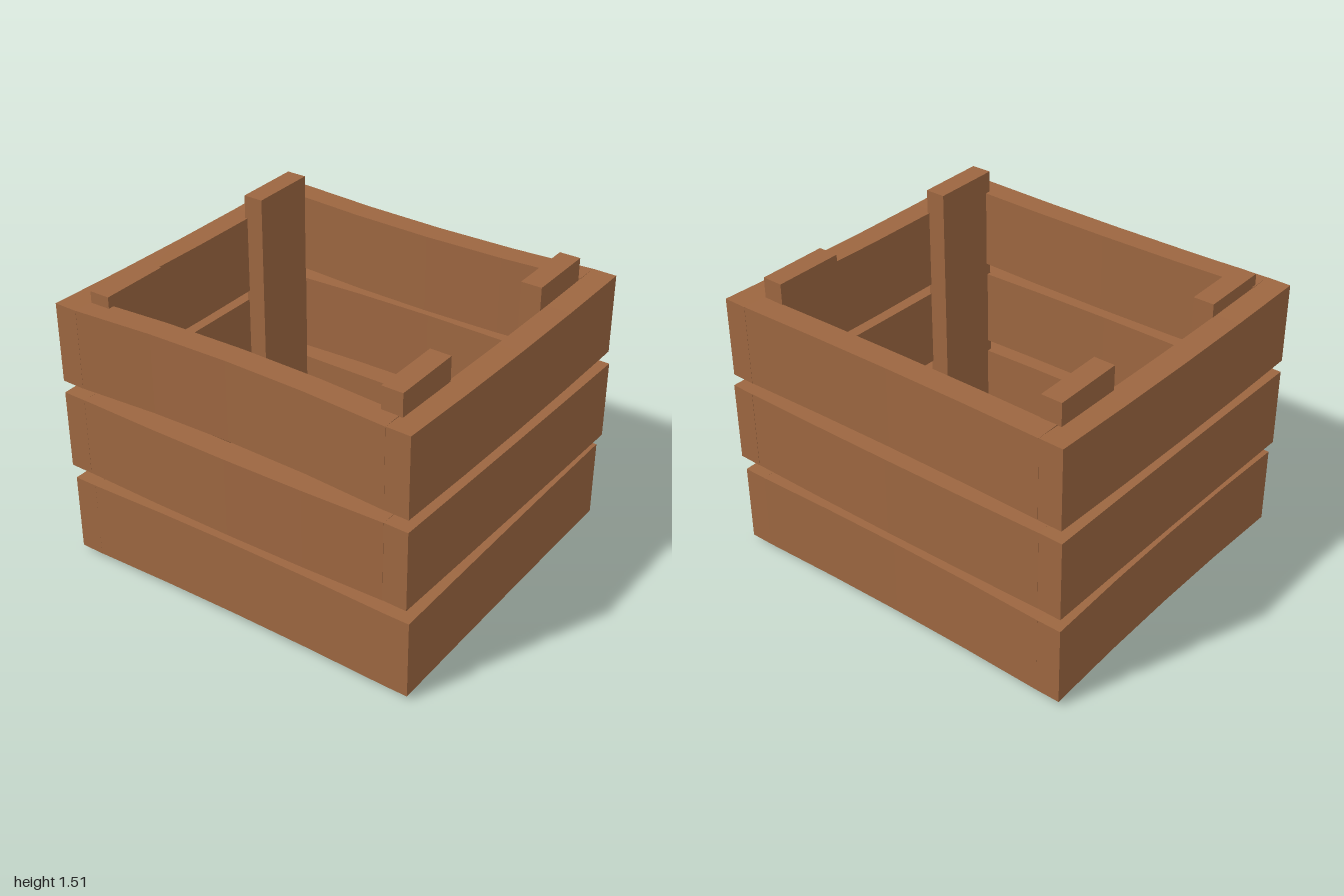
import * as THREE from 'three';

const T = 0.125; // plank thickness

export function createModel() {
  const crate = new THREE.Group();
  crate.name = 'crate';
  const wood = new THREE.MeshStandardMaterial({ color: 0x9c6640 });
  wood.name = 'brown wood';
  wood.flatShading = true;

  // Plank between two plan points [x, z]; its middle is bowed outwards and upwards
  function plank(name, [ax, az], [bx, bz], y0, y1, depth, out = 0, lift = 0) {
    const length = Math.hypot(bx - ax, bz - az);
    const geo = new THREE.BoxGeometry(length, y1 - y0, depth, 4, 1, 1);
    const p = geo.attributes.position;
    for (let i = 0; i < p.count; i++) {
      const u = (2 * p.getX(i)) / length;
      const bow = 1 - u * u;
      p.setY(i, p.getY(i) + lift * bow);
      p.setZ(i, p.getZ(i) + out * bow);
    }
    geo.computeVertexNormals();
    const mesh = new THREE.Mesh(geo, wood);
    mesh.name = name;
    mesh.position.set((ax + bx) / 2, (y0 + y1) / 2, (az + bz) / 2);
    mesh.rotation.y = Math.atan2(az - bz, bx - ax);
    crate.add(mesh);
  }

  // Wall tiers: outer x of the side boards at front and back, then [out, lift] bows
  const tiers = [
    { y: 0.025, top: 0.437, left: [-0.98, -0.975], right: [0.97, 0.97],
      front: [0, 0.014], back: [-0.01, 0.005], leftBow: [-0.015, 0.005], rightBow: [0, 0.004] },
    { y: 0.505, top: 0.92, left: [-0.998, -0.975], right: [0.955, 0.995],
      front: [0.015, 0], back: [0.015, 0.008], leftBow: [0, 0.005], rightBow: [0, -0.003] },
    { y: 0.985, top: 1.4, left: [-0.998, -0.97], right: [0.955, 0.985],
      front: [-0.028, 0.008], back: [-0.022, -0.01], leftBow: [0, -0.012], rightBow: [0, -0.014] },
  ];
  const end = 0.87, mid = end - T / 2;
  for (const t of tiers) {
    const [lf, lb] = t.left.map((x) => x + T / 2);
    const [rf, rb] = t.right.map((x) => x - T / 2);
    plank('leftBoard', [lb, -end], [lf, end], t.y, t.top, T, ...t.leftBow);
    plank('rightBoard', [rf, end], [rb, -end], t.y, t.top, T, ...t.rightBow);
    plank('frontBoard', [lf + T / 2, mid], [rf - T / 2, mid], t.y, t.top, T, ...t.front);
    plank('backBoard', [rb - T / 2, -mid], [lb + T / 2, -mid], t.y, t.top, T, ...t.back);
  }

  // Floor slats: centre z and sag
  for (const [z, sag] of [[-0.5, -0.024], [0.035, -0.008], [0.54, -0.03]]) {
    plank('floorSlat', [-0.855, z], [0.85, z], 0.03, 0.15, 0.415, 0, sag);
  }

  // Corner posts standing on the floor inside the side boards: x, z, top
  const posts = [[-0.813, 0.585, 1.46], [0.795, 0.585, 1.515], [-0.813, -0.56, 1.515], [0.795, -0.56, 1.505]];
  for (const [x, z, top] of posts) {
    const bottom = 0.12;
    const post = new THREE.Mesh(new THREE.BoxGeometry(0.108, top - bottom, 0.37), wood);
    post.name = 'cornerPost';
    post.position.set(x, (top + bottom) / 2, z);
    crate.add(post);
  }
  return crate;
}
